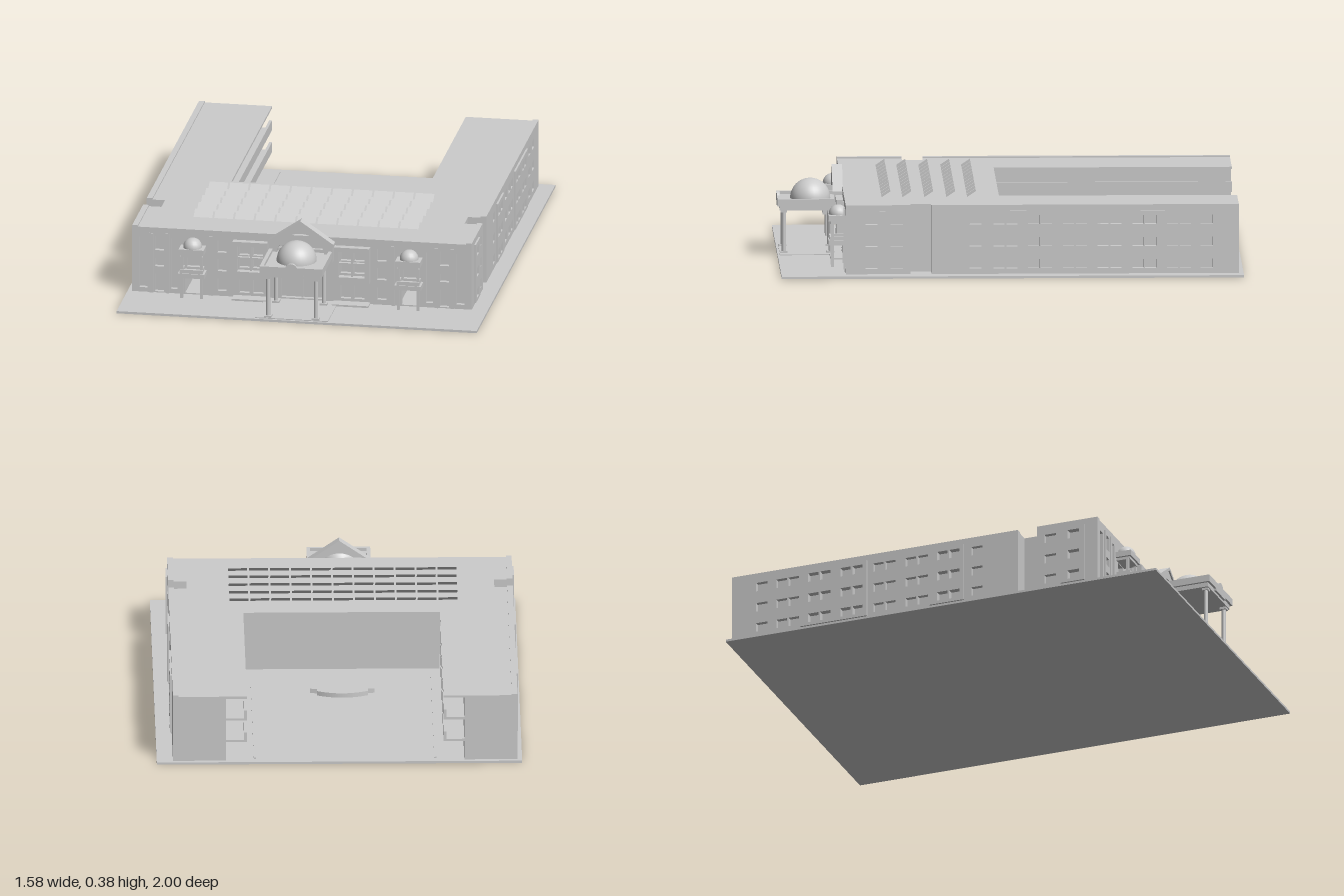
import * as THREE from 'three';

const grey = new THREE.MeshStandardMaterial({ color: 0xcccccc, flatShading: true, side: THREE.DoubleSide });
const smooth = new THREE.MeshStandardMaterial({ color: 0xcccccc, side: THREE.DoubleSide });
const BASE = 0.01, EAVE = 0.295, ROOF = 0.305;

export function createModel() {
  const model = new THREE.Group();
  model.name = 'courtyardBuilding';
  // The building is symmetric about its own axis, slightly off the plot centre
  const site = new THREE.Group();
  site.name = 'building';
  site.position.x = -0.025;
  model.add(site);

  const add = (name, geo, mat = grey, parent = site) => {
    const m = new THREE.Mesh(geo, mat);
    m.name = name;
    parent.add(m);
    return m;
  };
  // Box from its min and max corners
  const box = (name, x0, x1, y0, y1, z0, z1, parent = site) => {
    const m = add(name, new THREE.BoxGeometry(Math.abs(x1 - x0), y1 - y0, z1 - z0), grey, parent);
    m.position.set((x0 + x1) / 2, (y0 + y1) / 2, (z0 + z1) / 2);
    return m;
  };
  const poly = (pts) => new THREE.Shape(pts.map(([x, y]) => new THREE.Vector2(x, y)));
  const rect = (x0, x1, y0, y1) => poly([[x0, y0], [x1, y0], [x1, y1], [x0, y1]]);
  const extrude = (shape, depth) => new THREE.ExtrudeGeometry(shape, { depth, bevelEnabled: false, curveSegments: 20 });
  // Wall panel pierced by the openings [u, y, w, h] that lie within it
  const panel = (u0, u1, y0, y1, openings, t) => {
    const s = rect(u0, u1, y0, y1);
    for (const [u, y, w, h] of openings)
      if (u - w / 2 > u0 && u + w / 2 < u1) s.holes.push(rect(u - w / 2, u + w / 2, y - h / 2, y + h / 2));
    return extrude(s, t);
  };
  // Plan outline (x, -z) lifted to a flat slab
  const plan = (shape, y, h) => extrude(shape, h).rotateX(-Math.PI / 2).translate(0, y, 0);

  // Plot
  box('ground', -0.79, 0.79, 0, BASE, -1, 1, model);

  // Roof: U-shaped slab with a notch in each flank
  const half = [[0.425, -0.05], [0.425, 0.98], [0.745, 0.98], [0.745, -0.35], [0.665, -0.35],
    [0.665, -0.44], [0.745, -0.44], [0.745, -0.72]];
  const mirrored = half.map(([x, y]) => [-x, y]).reverse();
  add('roof', plan(poly([...half, ...mirrored]), EAVE, ROOF - EAVE));

  // Solid rooms behind the facades
  box('frontBlock', -0.425, 0.425, BASE, EAVE, 0.14, 0.7);
  box('courtyardUpperWall', -0.425, 0.425, 0.11, EAVE, 0.05, 0.14);

  // Window layout on the flanks, by position along z
  const flankWindows = [];
  for (const y of [0.054, 0.15, 0.246]) {
    for (const z of [0.61, 0.5, 0.16, -0.84]) flankWindows.push([z, y, 0.053, 0.04]);
    for (const z of [0.03, -0.12, -0.27, -0.42, -0.57, -0.72])
      for (const d of [-0.028, 0.028]) flankWindows.push([z + d, y, 0.048, 0.04]);
  }

  for (const s of [-1, 1]) {
    const side = s > 0 ? 'left' : 'right';
    // Wing rooms
    box(side + 'WingRooms', s * 0.515, s * 0.725, BASE, EAVE, -0.98, 0.35);
    box(side + 'NotchCore', s * 0.515, s * 0.665, BASE, EAVE, 0.35, 0.44);
    box(side + 'CornerRooms', s * 0.515, s * 0.725, BASE, EAVE, 0.44, 0.7);
    box(side + 'AbovePassage', s * 0.425, s * 0.515, 0.105, EAVE, 0.05, 0.7);

    // Flank facades and their shallow projecting bays
    const flank = (name, z0, z1, y0, y1, out, t) => {
      const g = panel(z0, z1, y0, y1, flankWindows, t).rotateY(-Math.PI / 2);
      add(side + name, g.translate(s > 0 ? out : -out + t, 0, 0));
    };
    flank('RearFlankWall', -0.98, 0.35, BASE, EAVE, 0.745, 0.02);
    flank('FrontFlankWall', 0.44, 0.72, BASE, EAVE, 0.745, 0.02);
    for (const [z0, z1] of [[-0.66, -0.35], [-0.06, 0.1], [0.55, 0.66]])
      flank('FlankBay', z0, z1, 0.02, 0.285, 0.753, 0.008);

    // Low rims along the outer roof edges
    box(side + 'RearRoofRim', s * 0.72, s * 0.745, ROOF, 0.311, -0.98, 0.35);
    box(side + 'FrontRoofRim', s * 0.72, s * 0.745, ROOF, 0.311, 0.44, 0.72);

    // Open galleries facing the courtyard
    for (const y of [0.105, 0.205]) {
      box(side + 'GalleryFloor', s * 0.425, s * 0.515, y - 0.01, y, -0.98, 0.05);
      box(side + 'GalleryParapet', s * 0.425, s * 0.437, y, y + 0.035, -0.98, 0.05);
    }
    box(side + 'CourtyardCurb', s * 0.385, s * 0.395, BASE, 0.015, -0.96, 0.05);

    // Entrance turret with balcony and small dome
    const t = new THREE.Group();
    t.name = side + 'Turret';
    t.position.x = s * 0.475;
    site.add(t);
    box('balconyFloor', -0.058, 0.058, 0.105, 0.125, 0.72, 0.79, t);
    box('balconyRail', -0.05, 0.05, 0.125, 0.142, 0.775, 0.785, t);
    box('canopy', -0.055, 0.055, 0.21, 0.235, 0.72, 0.79, t);
    box('canopyBase', -0.045, 0.045, 0.198, 0.21, 0.72, 0.782, t);
    for (const x of [-0.043, 0.043]) {
      box('balconySide', x - 0.005, x + 0.005, 0.125, 0.142, 0.72, 0.78, t);
      box('turretPost', x - 0.006, x + 0.006, BASE, 0.2, 0.766, 0.778, t);
    }
    add('turretDome', new THREE.SphereGeometry(0.041, 20, 12), smooth, t).position.set(0, 0.236, 0.747);

    // Framed projecting bay beside the portico
    const f = rect(0.145, 0.3, 0.11, 0.27);
    f.holes.push(rect(0.165, 0.28, 0.135, 0.25));
    add(side + 'BayFrame', extrude(f, 0.03).scale(s, 1, 1).translate(0, 0, 0.72));
    box(side + 'BayTransom', s * 0.165, s * 0.28, 0.188, 0.196, 0.72, 0.735);
    box(side + 'BayMullion', s * 0.218, s * 0.226, 0.135, 0.25, 0.72, 0.735);
    box(side + 'FrontStep', s * 0.14, s * 0.3, BASE, 0.018, 0.72, 0.775);

    // Slim pilasters on the front
    for (const x of [0.66, 0.59, 0.4]) box(side + 'Pilaster', s * (x - 0.008), s * (x + 0.008), BASE, 0.28, 0.72, 0.726);
  }

  // Front facade with passages, door and windows
  const front = [[0, 0.11, 0.18, 0.18]];
  for (const s of [-1, 1]) {
    front.push([s * 0.475, 0.058, 0.075, 0.085], [s * 0.475, 0.165, 0.06, 0.06]);
    front.push([s * 0.695, 0.145, 0.036, 0.23], [s * 0.56, 0.145, 0.03, 0.23]);
    front.push([s * 0.625, 0.235, 0.04, 0.065], [s * 0.625, 0.147, 0.04, 0.036], [s * 0.625, 0.055, 0.04, 0.08]);
    for (const x of [0.192, 0.252]) front.push([s * x, 0.165, 0.045, 0.04], [s * x, 0.222, 0.045, 0.04], [s * x, 0.06, 0.045, 0.06]);
    for (const y of [0.06, 0.15, 0.235]) front.push([s * 0.35, y, 0.04, 0.055]);
  }
  add('frontFacade', panel(-0.745, 0.745, BASE, EAVE, front, 0.02).translate(0, 0, 0.7));
  box('entranceDoorMullion', -0.004, 0.004, BASE, 0.2, 0.7, 0.712);

  // Gable with arch behind the great dome
  const gable = poly([[-0.14, 0.2], [0.14, 0.2], [0.14, 0.275], [0, 0.37], [-0.14, 0.275]]);
  const arch = new THREE.Path();
  arch.moveTo(-0.105, 0.205).lineTo(0.105, 0.205).lineTo(0.105, 0.22).absarc(0, 0.22, 0.105, 0, Math.PI, false);
  gable.holes.push(arch);
  add('gable', extrude(gable, 0.035).translate(0, 0, 0.72));
  const rake = poly([[-0.145, 0.272], [0, 0.37], [0.145, 0.272], [0.145, 0.285], [0, 0.384], [-0.145, 0.285]]);
  add('gableCoping', extrude(rake, 0.045).translate(0, 0, 0.717));

  // Portico: slab, parapet, crest, columns and dome
  box('porticoBeam', -0.128, 0.128, 0.2, 0.22, 0.72, 0.99);
  box('porticoSlab', -0.138, 0.138, 0.22, 0.237, 0.72, 1);
  const ring = rect(-0.138, 0.138, -1, -0.72);
  ring.holes.push(rect(-0.122, 0.122, -0.984, -0.736));
  add('porticoParapet', plan(ring, 0.237, 0.014));
  const crest = new THREE.Shape();
  crest.moveTo(-0.055, 0.21).lineTo(0.055, 0.21).lineTo(0.055, 0.238).lineTo(0.035, 0.24);
  crest.absarc(0, 0.24, 0.028, 0, Math.PI, false).lineTo(-0.055, 0.238);
  add('porticoCrest', extrude(crest, 0.012).translate(0, 0, 0.988));
  add('greatDome', new THREE.SphereGeometry(0.087, 32, 12, 0, Math.PI * 2, 0, Math.PI / 2), smooth).position.set(0, 0.238, 0.855);
  for (const x of [-0.105, 0.105]) for (const z of [0.77, 0.972]) {
    add('porticoColumn', new THREE.CylinderGeometry(0.0095, 0.0095, 0.19, 16), smooth).position.set(x, 0.105, z);
    box('columnBase', x - 0.016, x + 0.016, BASE, 0.022, z - 0.016, z + 0.016);
    box('columnCapital', x - 0.014, x + 0.014, 0.19, 0.2, z - 0.014, z + 0.014);
  }
  box('porticoStep', -0.16, 0.16, BASE, 0.014, 0.72, 0.99);

  // Tilted roof panels in five rows of eleven
  const tile = new THREE.PlaneGeometry(0.082, 0.046).rotateX(-0.977);
  for (const z of [0.17, 0.26, 0.355, 0.45, 0.54])
    for (let i = -5; i <= 5; i++) add('roofPanel', tile).position.set(i * 0.0905 - 0.01, 0.321, z);

  // Low arched stage in the courtyard
  const stage = new THREE.Shape();
  stage.moveTo(-0.14, 0.125).lineTo(0.14, 0.125).lineTo(0.14, 0.155).lineTo(0.11, 0.16).lineTo(0.11, 0.185);
  stage.quadraticCurveTo(0, 0.245, -0.11, 0.185).lineTo(-0.11, 0.16).lineTo(-0.14, 0.155);
  add('courtyardStage', plan(stage, BASE, 0.02));

  return model;
}
